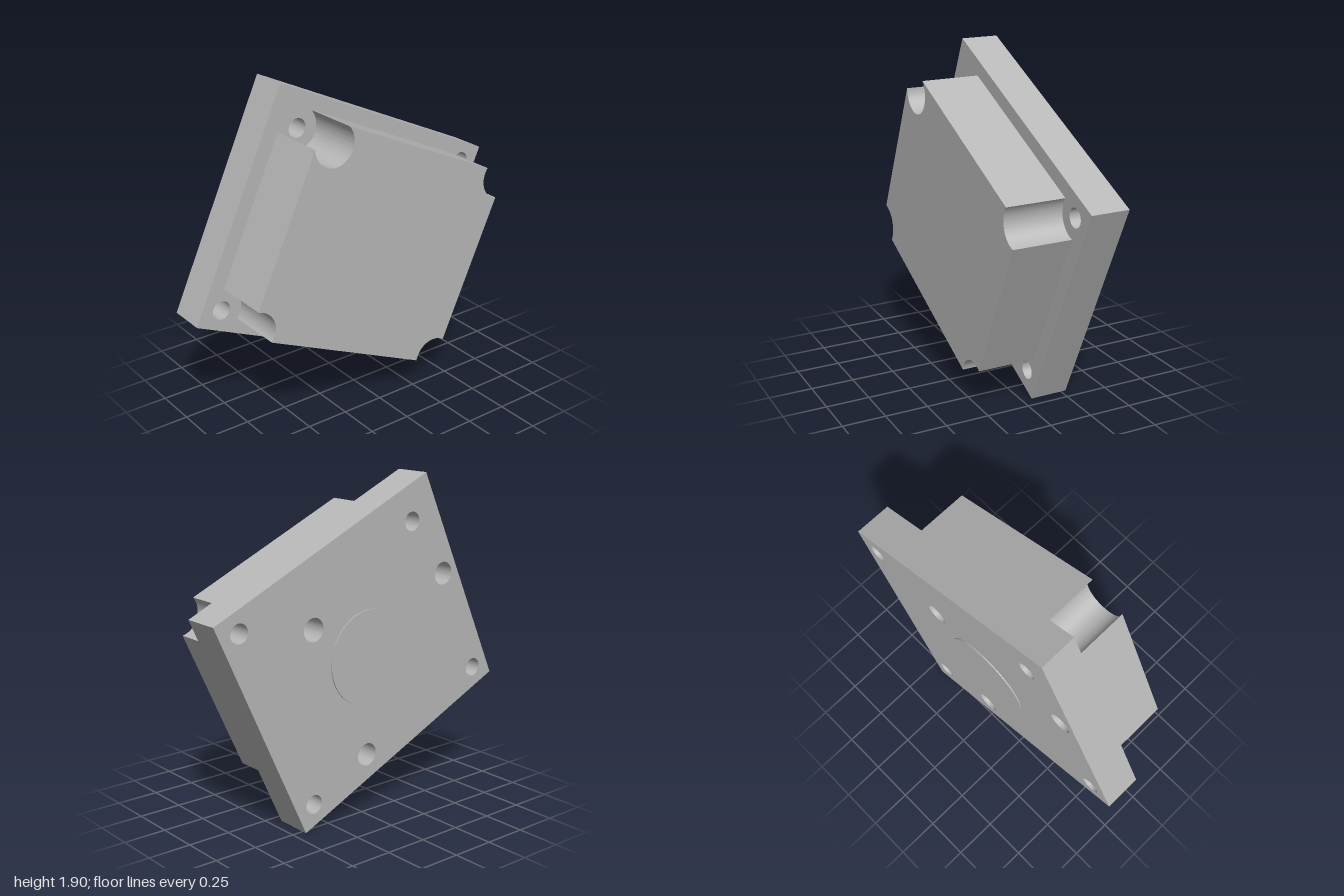
import * as THREE from 'three';
import { toCreasedNormals } from 'three/addons/utils/BufferGeometryUtils.js';

const HOLE_R = 0.054, NOTCH_R = 0.124, BLIND_R = 0.066;
const PLATE = [0.787, 0.685], BLOCK = [0.70, 0.60]; // half sizes

// Corner holes, counter-clockwise; the first one is set further in
const corners = [[0.587, 0.487], [-0.67, 0.57], [-0.67, -0.57], [0.67, -0.57]];
const blindHoles = [[0.68, 0.09], [-0.26, 0.32], [-0.24, -0.548]];

function plateShape() {
  const [w, h] = PLATE;
  const shape = new THREE.Shape([
    new THREE.Vector2(-w, -h), new THREE.Vector2(w, -h),
    new THREE.Vector2(w, h), new THREE.Vector2(-w, h),
  ]);
  const addHole = ([x, y], r) =>
    shape.holes.push(new THREE.Path().absarc(x, y, r, 0, Math.PI * 2, true));
  corners.forEach((c) => addHole(c, HOLE_R));
  blindHoles.forEach((c) => addHole(c, BLIND_R));
  return shape;
}

// Rectangle whose corners are scooped out around the corner holes
function blockShape() {
  const shape = new THREE.Shape();
  for (const [cx, cy] of corners) {
    const sx = Math.sign(cx), sy = Math.sign(cy);
    const du = BLOCK[0] - Math.abs(cx), dv = BLOCK[1] - Math.abs(cy);
    const sideAngle = Math.atan2(-sy * Math.sqrt(NOTCH_R ** 2 - du ** 2), sx * du);
    const endAngle = Math.atan2(sy * dv, -sx * Math.sqrt(NOTCH_R ** 2 - dv ** 2));
    const [from, to] = sx * sy > 0 ? [sideAngle, endAngle] : [endAngle, sideAngle];
    shape.absarc(cx, cy, NOTCH_R, from, to, true);
  }
  shape.closePath();
  return shape;
}

export function createModel() {
  const grey = new THREE.MeshStandardMaterial({ color: 0xb8b8b8 });
  grey.name = 'plain grey';
  const model = new THREE.Group();
  model.name = 'mountingBlock';

  const addExtrusion = (name, shape, z0, z1) => {
    const geo = new THREE.ExtrudeGeometry(shape, {
      depth: z1 - z0, bevelEnabled: false, curveSegments: 32,
    });
    geo.translate(0, 0, z0);
    const mesh = new THREE.Mesh(toCreasedNormals(geo, 0.5), grey);
    mesh.name = name;
    body.add(mesh);
  };

  // Built flat, then tilted so that its depth runs along -x
  const body = new THREE.Group();
  body.name = 'tiltedBody';
  const a = Math.atan2(0.655, 1.43);
  const c = Math.cos(a), s = Math.sin(a);
  const basis = new THREE.Matrix4().makeBasis(
    new THREE.Vector3(0, s, c), new THREE.Vector3(0, c, -s), new THREE.Vector3(-1, 0, 0));
  body.quaternion.setFromRotationMatrix(basis);
  body.position.y = 0.952;
  model.add(body);

  addExtrusion('plate', plateShape(), 0.06, 0.28);
  addExtrusion('block', blockShape(), -0.28, 0.06);

  // Floors that close the blind holes
  for (const [x, y] of blindHoles) {
    const plug = new THREE.Shape().absarc(x, y, BLIND_R, 0, Math.PI * 2, false);
    addExtrusion('blindHoleFloor', plug, 0.06, 0.1);
  }

  // Thin raised disc on the outer face of the plate
  const disc = new THREE.Shape().absarc(0.004, -0.04, 0.272, 0, Math.PI * 2, false);
  addExtrusion('raisedDisc', disc, 0.28, 0.287);

  return model;
}
